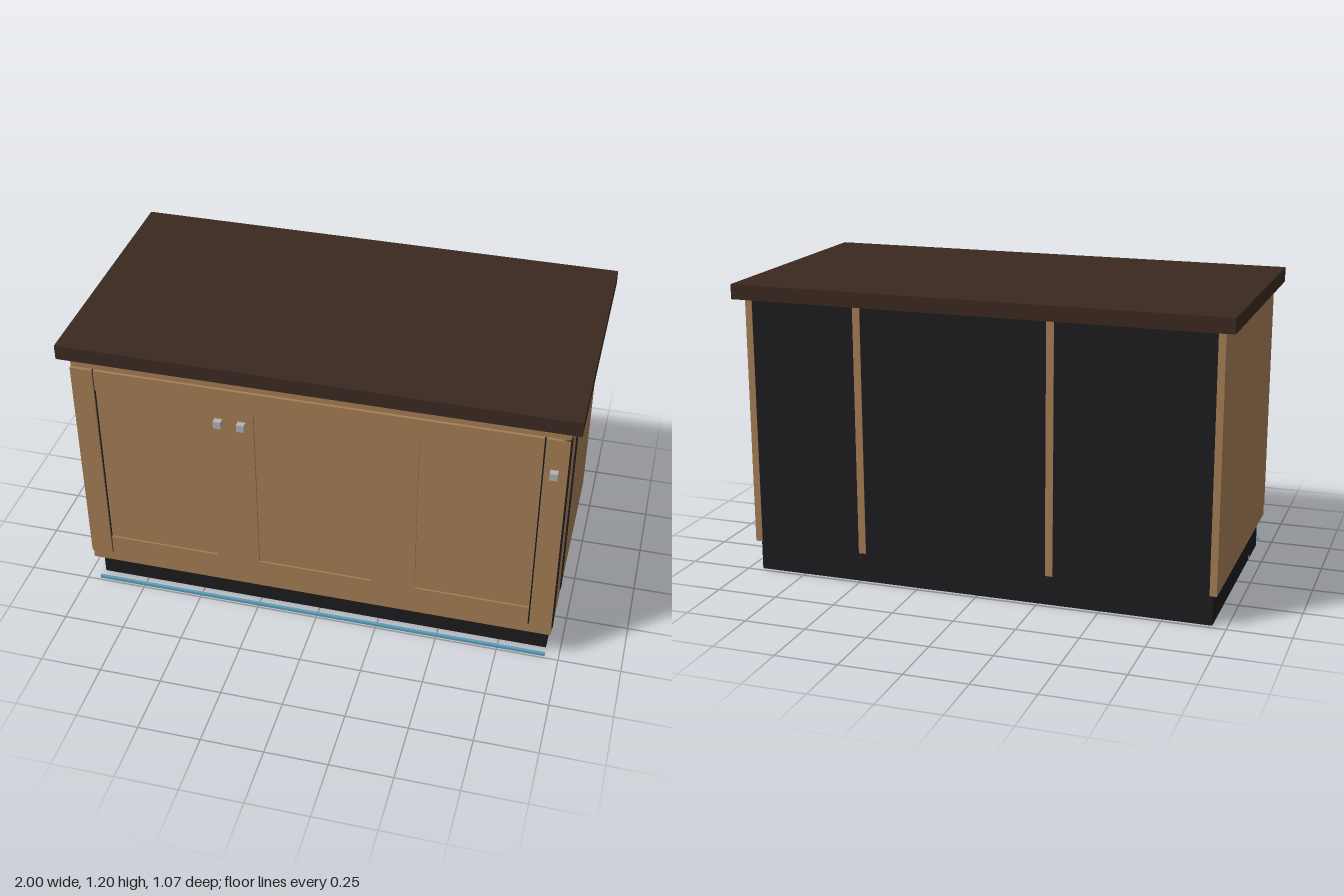
import * as THREE from 'three';

const material = (color) => new THREE.MeshStandardMaterial({ color });

export function createModel() {
  const model = new THREE.Group();
  const wood = material(0xa47d54);
  const dark = material(0x1c1c1e);
  const top = material(0x3b2920);
  const metal = material(0xb0b0b6);
  const blue = material(0x5b9dbb);

  // Box given by its extents along each axis
  function box(name, mat, [x0, x1], [y0, y1], [z0, z1], parent = model) {
    const mesh = new THREE.Mesh(new THREE.BoxGeometry(x1 - x0, y1 - y0, z1 - z0), mat);
    mesh.position.set((x0 + x1) / 2, (y0 + y1) / 2, (z0 + z1) / 2);
    mesh.name = name;
    parent.add(mesh);
    return mesh;
  }

  // Worktop and recessed plinth
  box('worktop', top, [-1, 1], [1.14, 1.2], [-0.535, 0.535]);
  box('plinth', dark, [-0.943, 0.943], [0, 0.125], [-0.48, 0.44]);

  // Carcass: two sides, a front panel and a dark core filling the back
  const body = [0.125, 1.14];
  for (const s of [-1, 1]) {
    const x = s < 0 ? [-0.96, -0.932] : [0.932, 0.96];
    box(s < 0 ? 'rightSide' : 'leftSide', wood, x, body, [-0.497, 0.497]);
  }
  box('frontFrame', wood, [-0.932, 0.932], body, [0.47, 0.497]);
  box('backPanel', dark, [-0.932, 0.932], body, [-0.494, 0.47]);
  for (const x of [-0.3, 0.485]) {
    box('backDivider', wood, [x - 0.015, x + 0.015], body, [-0.497, -0.48]);
  }

  // Framed doors with recessed centre panels
  const y0 = 0.172, y1 = 1.09, rail = 0.09, width = 0.64, stile = 0.088;
  const depth = [0.497, 0.509];
  for (let i = 0; i < 3; i++) {
    const door = new THREE.Group();
    door.name = 'door';
    model.add(door);
    const x0 = -0.96 + i * width, x1 = x0 + width;
    // A narrow groove follows the outermost stiles
    const a = x0 + stile + (i === 0 ? 0.006 : 0);
    const b = x1 - stile - (i === 2 ? 0.006 : 0);
    box('stile', wood, [x0, x0 + stile], [y0, y1], depth, door);
    box('stile', wood, [x1 - stile, x1], [y0, y1], depth, door);
    box('bottomRail', wood, [a, b], [y0, y0 + rail], depth, door);
    box('topRail', wood, [a, b], [y1 - rail, y1], depth, door);
    box('doorPanel', wood, [a, b], [y0 + rail, y1 - rail], [0.497, 0.501], door);
    if (i === 0) box('groove', dark, [x0 + stile, a], [y0, y1], [0.497, 0.501], door);
    if (i === 2) box('groove', dark, [b, x1 - stile], [y0, y1], [0.497, 0.501], door);
  }

  // Square knobs
  for (const x of [-0.37, -0.278, 0.912]) {
    box('knob', metal, [x - 0.015, x + 0.015], [0.925, 0.955], [0.509, 0.535]);
  }

  // Dark upright strips on one side, and thin floor rails in line with them
  for (const z of [0.491, 0.255]) {
    box('sideStrip', dark, [0.93, 0.965], [y0, y1], [z - 0.014, z + 0.014]);
    box('floorRail', blue, [-0.945, 0.945], [0.006, 0.018], [z - 0.006, z + 0.006]);
  }
  return model;
}
